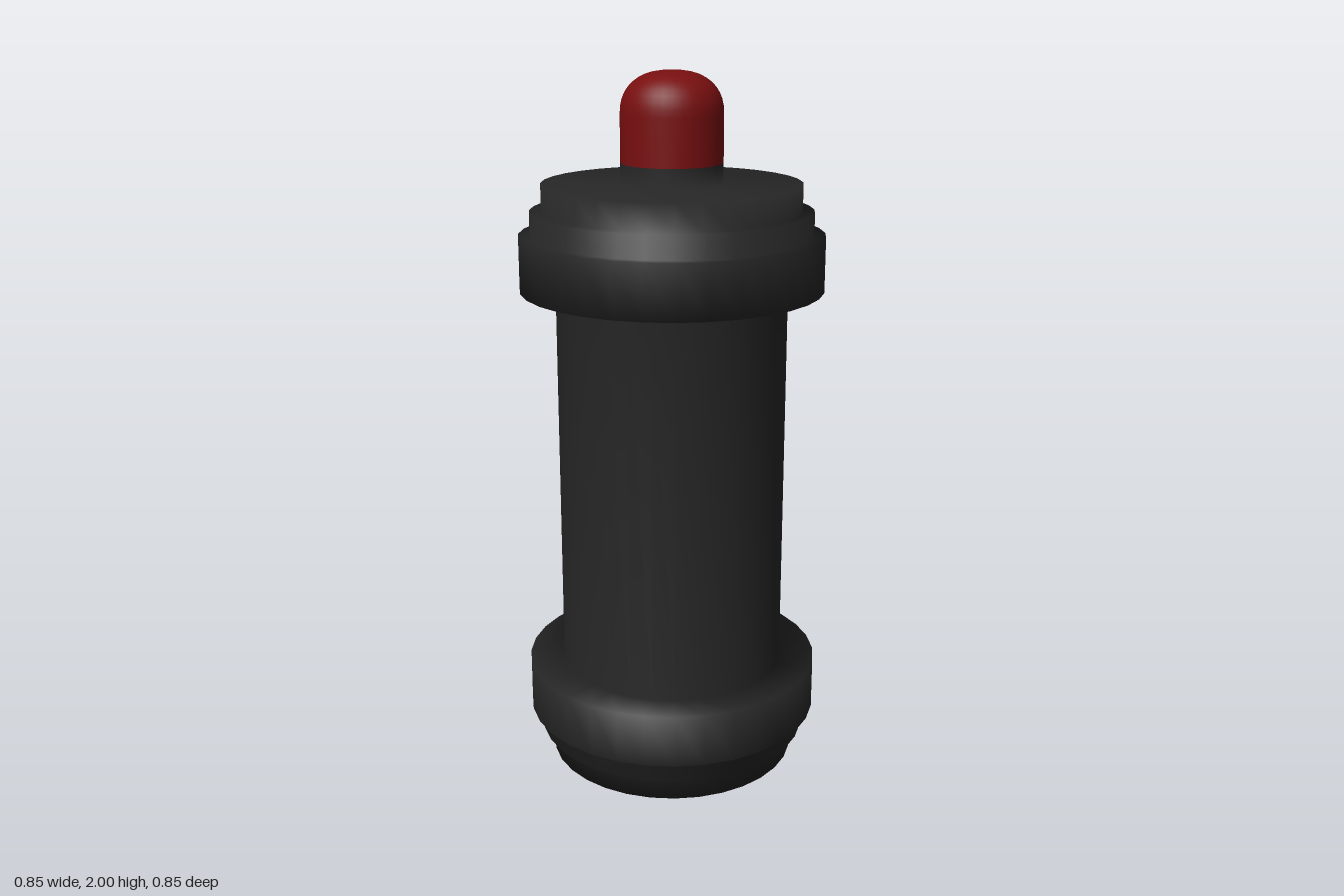
import * as THREE from 'three';

const SEGMENTS = 32;

// Smooth turned part from [radius, height] pairs, bottom to top
function turned(name, profile, material) {
  const points = profile.map(([r, y]) => new THREE.Vector2(r, y));
  const mesh = new THREE.Mesh(new THREE.LatheGeometry(points, SEGMENTS), material);
  mesh.name = name;
  return mesh;
}

export function createModel() {
  const black = new THREE.MeshStandardMaterial({ color: 0x262626 });
  black.name = 'black casing';
  const red = new THREE.MeshStandardMaterial({ color: 0x780f10 });
  red.name = 'red button';

  const group = new THREE.Group();
  group.name = 'buttonHandle';

  // Grip with stepped collars at both ends and a short neck for the button
  group.add(turned('casing', [
    [0, 0], [0.36, 0], [0.36, 0.075],
    [0.393, 0.075], [0.393, 0.142],
    [0.425, 0.142], [0.425, 0.294],
    [0.325, 0.294], [0.325, 1.408],
    [0.425, 1.408], [0.425, 1.56],
    [0.393, 1.56], [0.393, 1.625],
    [0.36, 1.625], [0.36, 1.7],
    [0.141, 1.7], [0.141, 1.755],
  ], black));

  // Rounded push button: straight wall, then a soft flattened dome
  const button = [[0.141, 1.755]];
  const steps = 10;
  for (let i = 0; i <= steps; i++) {
    const a = (i / steps) * Math.PI / 2;
    button.push([0.141 * Math.pow(Math.max(0, Math.cos(a)), 0.8), 1.885 + 0.115 * Math.pow(Math.sin(a), 0.9)]);
  }
  button[button.length - 1][0] = 0;
  group.add(turned('button', button, red));

  return group;
}
